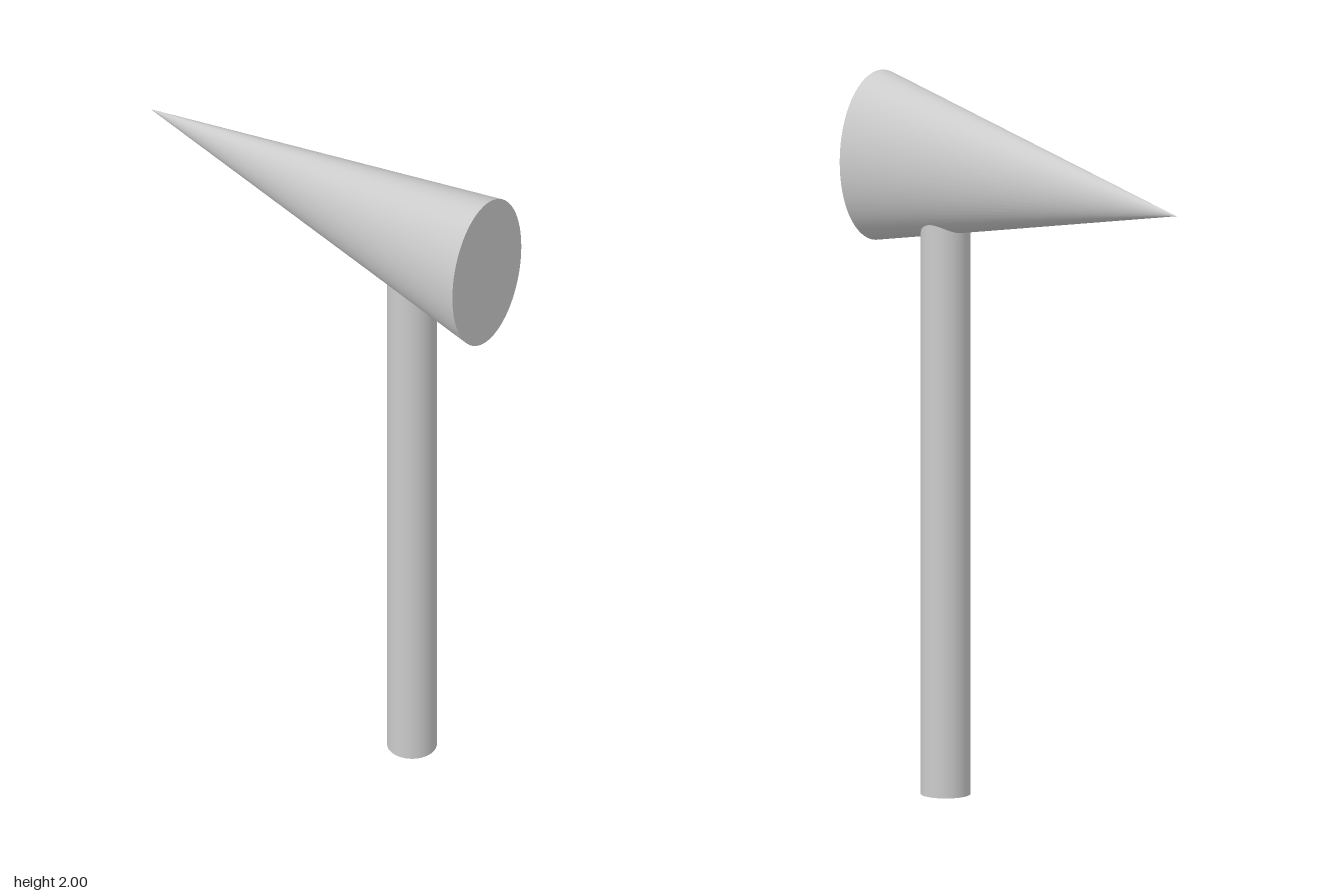
import * as THREE from 'three';

export function createModel() {
  const group = new THREE.Group();
  const material = new THREE.MeshStandardMaterial({ color: 0xcccccc });

  const add = (name, geometry, x, y) => {
    const mesh = new THREE.Mesh(geometry, material);
    mesh.name = name;
    mesh.position.set(x, y, 0);
    group.add(mesh);
  };

  // Head: an oval cone lying on its side, pointing to -x
  const head = new THREE.ConeGeometry(1, 1.19, 64);
  head.scale(0.239, 1, 0.152);
  head.rotateZ(Math.PI / 2);
  add('head', head, 0, 1.761);

  // Handle: a round post whose top is sunk into the head
  const handleHeight = 1.7;
  add('handle', new THREE.CylinderGeometry(0.069, 0.069, handleHeight, 48), 0.33, handleHeight / 2);

  return group;
}
